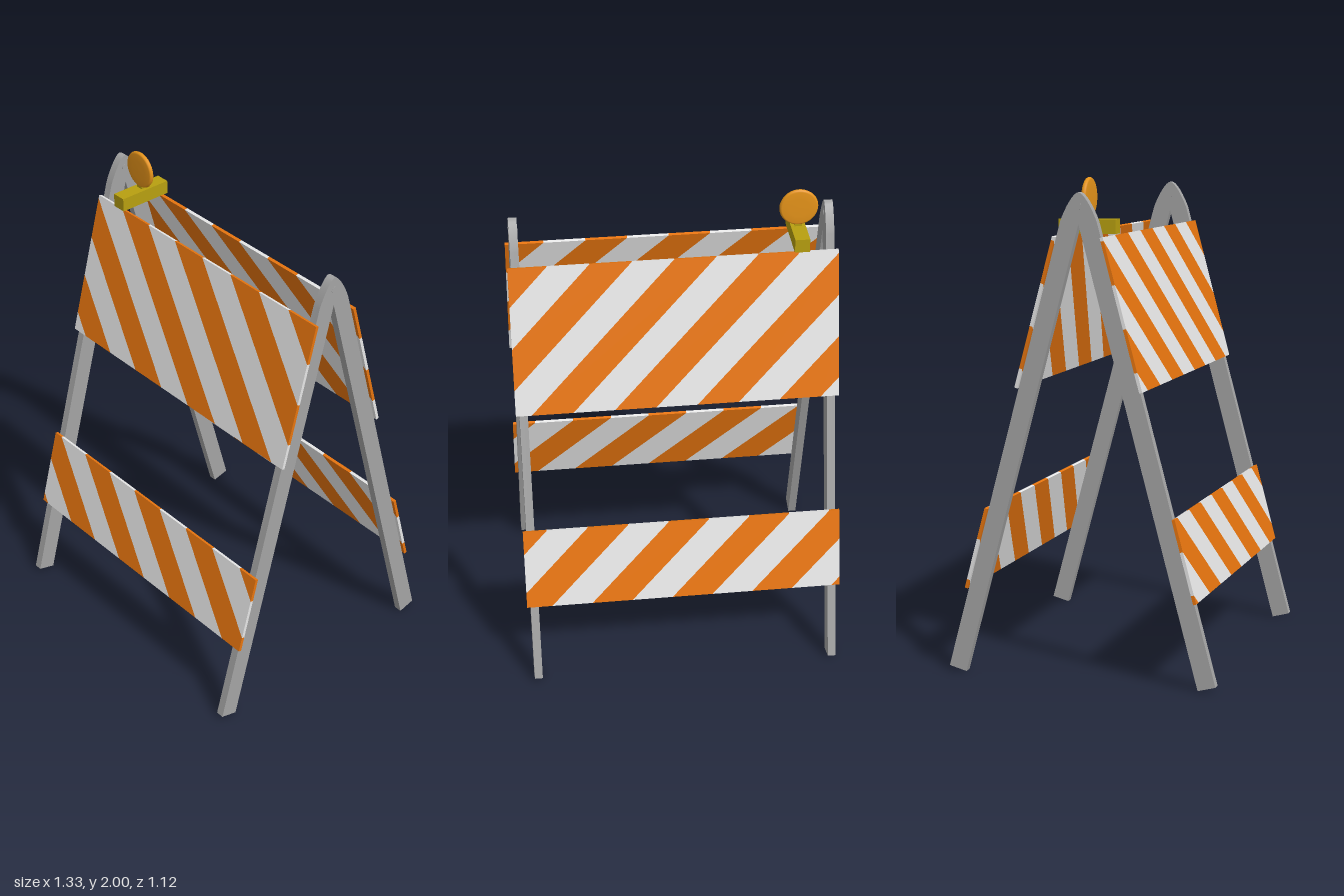
import * as THREE from 'three';
import { toCreasedNormals } from 'three/addons/utils/BufferGeometryUtils.js';

const material = (name, color) => {
  const m = new THREE.MeshStandardMaterial({ color });
  m.name = name;
  return m;
};

const LEAN = THREE.MathUtils.degToRad(15);
const HALF = 0.663; // half the panel width
const THICK = 0.013;
const PERIOD = 0.3385;

// Keep the part of a polygon where side * x <= HALF
function clip(points, side) {
  const out = [];
  points.forEach((p, i) => {
    const q = points[(i + 1) % points.length];
    const dp = HALF - side * p.x, dq = HALF - side * q.x;
    if (dp >= 0) out.push(p);
    if (dp * dq < 0) out.push(p.clone().lerp(q, dp / (dp - dq)));
  });
  return out;
}

// All slanted bands of one colour on a panel, cut off at its ends
function bands(height, start, flip) {
  const slant = height * Math.cos(LEAN), w = PERIOD / 2, shapes = [];
  for (let k = -6; k < 6; k++) {
    const a = start + k * PERIOD;
    let pts = [[a, height], [a + w, height], [a + w + slant, 0], [a + slant, 0]]
      .map(([x, y]) => new THREE.Vector2(x, y));
    pts = clip(clip(pts, 1), -1);
    if (pts.length < 3) continue;
    shapes.push(new THREE.Shape(pts.map((p) => new THREE.Vector2(p.x * flip, p.y))));
  }
  return new THREE.ExtrudeGeometry(shapes, { depth: THICK, bevelEnabled: false });
}

export function createModel() {
  const model = new THREE.Group();
  model.name = 'barricade';
  const orange = material('orange', 0xf57c10);
  const white = material('white', 0xf4f4f4);
  const steel = material('steel grey', 0xa4a4a4);
  const yellow = material('dull yellow', 0xb8a010);
  const amber = material('amber', 0xe8951a);

  const add = (parent, name, geometry, mat, x = 0, y = 0, z = 0) => {
    const mesh = new THREE.Mesh(geometry, mat);
    mesh.name = name;
    mesh.position.set(x, y, z);
    parent.add(mesh);
    return mesh;
  };

  // A-shaped leg frames with a rounded peak
  const frame = new THREE.Shape();
  frame.moveTo(0.488, 0);
  frame.lineTo(0.5605, 0.0194);
  frame.lineTo(0.0745, 1.833);
  frame.bezierCurveTo(0.055, 1.885, 0.02, 1.945, 0, 1.945);
  frame.bezierCurveTo(-0.02, 1.945, -0.055, 1.885, -0.0745, 1.833);
  frame.lineTo(-0.5605, 0.0194);
  frame.lineTo(-0.488, 0);
  frame.lineTo(0, 1.821);
  const legs = toCreasedNormals(new THREE.ExtrudeGeometry(frame,
    { depth: 0.034, bevelEnabled: false, curveSegments: 8 }).translate(0, 0, -0.017), 0.5);
  legs.rotateY(-Math.PI / 2);
  const pin = new THREE.CylinderGeometry(0.014, 0.014, 0.037, 16).rotateZ(Math.PI / 2);
  for (const [side, s] of [['left', 1], ['right', -1]]) {
    add(model, side + 'LegFrame', legs, steel, s * 0.631);
    add(model, side + 'HingePin', pin, steel, s * 0.631, 1.89);
  }

  // Striped panels lying on the outer faces of the legs
  const panels = [
    { name: 'UpperPanel', y: 1.172, height: 0.62, start: -0.508 },
    { name: 'LowerPanel', y: 0.348, height: 0.343, start: -0.451 },
  ];
  for (const [side, flip] of [['front', 1], ['back', -1]]) {
    const face = new THREE.Group();
    face.name = side + 'Panels';
    if (flip < 0) face.rotation.y = Math.PI;
    model.add(face);
    for (const p of panels) {
      const panel = new THREE.Group();
      panel.name = side + p.name;
      panel.position.set(0, p.y, 0.5605 - Math.tan(LEAN) * (p.y - 0.0194));
      panel.rotation.x = -LEAN;
      face.add(panel);
      add(panel, 'orangeStripes', bands(p.height, p.start, flip), orange);
      add(panel, 'whiteStripes', bands(p.height, p.start + PERIOD / 2, flip), white);
    }
  }

  // Warning lamp on a bar bridging the two upper panels
  const lamp = new THREE.Group();
  lamp.name = 'warningLamp';
  lamp.position.x = -0.513;
  model.add(lamp);
  add(lamp, 'lampBar', new THREE.BoxGeometry(0.06, 0.057, 0.235), yellow, 0, 1.808, 0);
  add(lamp, 'lampNeck', new THREE.BoxGeometry(0.03, 0.02, 0.014), yellow, 0, 1.842, 0);
  const profile = [[0, -0.011], [0.04, -0.0108], [0.07, -0.01], [0.076, -0.007], [0.079, 0],
    [0.076, 0.007], [0.07, 0.01], [0.04, 0.0108], [0, 0.011]]
    .map(([r, h]) => new THREE.Vector2(r, h));
  add(lamp, 'lampLens', new THREE.LatheGeometry(profile, 40).rotateX(Math.PI / 2), amber, 0, 1.921, 0);

  return model;
}
